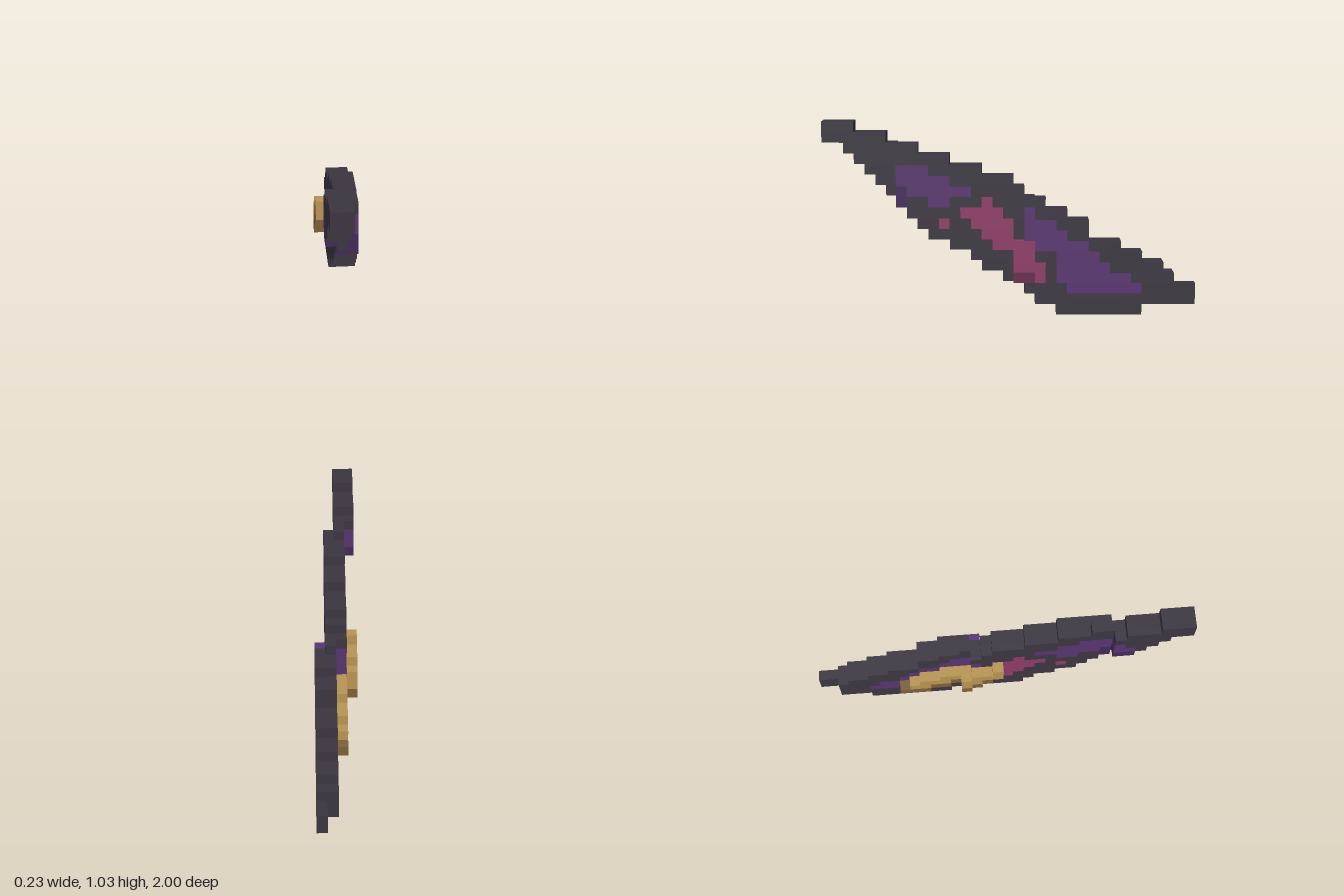
import * as THREE from 'three';
import { mergeGeometries } from 'three/addons/utils/BufferGeometryUtils.js';

const U = 2 / 35; // one block
const flat = (name, color) => {
  const m = new THREE.MeshStandardMaterial({ color });
  m.name = name;
  return m;
};

// Wing outline: [first column, end column] for each row, bottom to top.
// Columns run from the front tip (+z) to the back tip (-z).
const OUTLINE = [
  [22, 30], [20, 35], [19, 35], [17, 33], [15, 32], [14, 30], [12, 28], [10, 25], [9, 25],
  [8, 23], [7, 21], [6, 19], [5, 18], [4, 15], [3, 12], [2, 9], [0, 6], [0, 3],
];

// Markings as [row, first column, end column]
const MARKS = {
  purple: [[13, 7, 10], [12, 7, 12], [11, 8, 14], [10, 10, 12],
    [9, 19, 20], [8, 19, 22], [7, 19, 23], [6, 20, 25], [5, 22, 26], [4, 22, 27], [3, 22, 29], [2, 23, 30]],
  darkPurple: [[11, 7, 8], [10, 7, 8]],
  pink: [[8, 11, 12], [10, 15, 16], [9, 13, 17], [8, 14, 18], [7, 15, 18], [6, 16, 20],
    [5, 18, 20], [4, 18, 21], [3, 20, 21]],
  darkPink: [[3, 18, 20]],
};
// Markings on the outer front layer only
const TIP_MARKS = {
  purple: [[14, 6, 7], [13, 5, 7]],
  darkPurple: [[12, 5, 7]],
};

// Wing layers from -x to +x: columns and rows each one covers
const LAYERS = [
  { name: 'wingFrontTip', cols: [0, 7], rows: [12, 18], marks: TIP_MARKS },
  { name: 'wingFrontLayer', cols: [0, 20], rows: [4, 18], marks: MARKS },
  { name: 'wingMiddleLayer', cols: [7, 33], rows: [0, 15], marks: MARKS },
  { name: 'wingBackLayer', cols: [19, 35], rows: [0, 10], marks: MARKS, pinkStart: 18 },
];

// Stepped golden arm: [layer, column, bottom row, top row, lowest block is dark]
const ARM = [
  [0, 17, 8, 9, false], [0, 18, 7, 8, true], [0, 19, 6, 8, true], [0, 20, 5, 7, true],
  [1, 20, 5, 6, true], [1, 21, 5, 6, true], [1, 22, 4, 6, true], [1, 23, 4, 5, true],
  [1, 24, 3, 5, true], [1, 25, 3, 4, true], [1, 26, 3, 3, true],
];

// Box covering columns c0..c1 and rows r0..r1 (ends excluded) of one layer
function block(layer, c0, c1, r0, r1) {
  const g = new THREE.BoxGeometry(U, (r1 - r0) * U, (c1 - c0) * U);
  return g.translate((layer - 1.5) * U, ((r0 + r1) / 2) * U, 1 - ((c0 + c1) / 2) * U);
}

function colourAt(marks, row, col) {
  for (const [colour, runs] of Object.entries(marks)) {
    if (runs.some(([r, a, b]) => r === row && col >= a && col < b)) return colour;
  }
  return 'charcoal';
}

export function createModel() {
  const model = new THREE.Group();
  model.name = 'steppedWing';
  const materials = {
    charcoal: flat('charcoal', 0x3b3540),
    purple: flat('purple', 0x583470),
    darkPurple: flat('dark purple', 0x422a58),
    pink: flat('pink', 0x8f3b67),
    darkPink: flat('dark pink', 0x672a4e),
    gold: flat('gold', 0xb99553),
    darkGold: flat('dark gold', 0x7c6139),
  };

  // One merged mesh per colour in a named group
  const addPart = (name, pieces) => {
    const group = new THREE.Group();
    group.name = name;
    for (const [colour, list] of Object.entries(pieces)) {
      const mesh = new THREE.Mesh(mergeGeometries(list), materials[colour]);
      mesh.name = `${name} ${materials[colour].name}`;
      group.add(mesh);
    }
    model.add(group);
  };

  // Wing layers: each row is split into runs of one colour
  LAYERS.forEach(({ name, cols, rows, marks, pinkStart }, layer) => {
    const pieces = {};
    for (let r = rows[0]; r < rows[1]; r++) {
      const first = pinkStart && r >= 3 && r <= 6 ? pinkStart : cols[0];
      const start = Math.max(first, OUTLINE[r][0]);
      const end = Math.min(cols[1], OUTLINE[r][1]);
      for (let c = start; c < end;) {
        const colour = colourAt(marks, r, c);
        let e = c + 1;
        while (e < end && colourAt(marks, r, e) === colour) e++;
        (pieces[colour] ??= []).push(block(layer, c, e, r, r + 1));
        c = e;
      }
    }
    addPart(name, pieces);
  });

  // Golden arm along the -x side
  const arm = { gold: [], darkGold: [] };
  for (const [layer, c, bottom, top, dark] of ARM) {
    const low = dark ? bottom + 1 : bottom;
    if (dark) arm.darkGold.push(block(layer, c, c + 1, bottom, low));
    if (low <= top) arm.gold.push(block(layer, c, c + 1, low, top + 1));
  }
  addPart('goldenArm', arm);

  return model;
}
